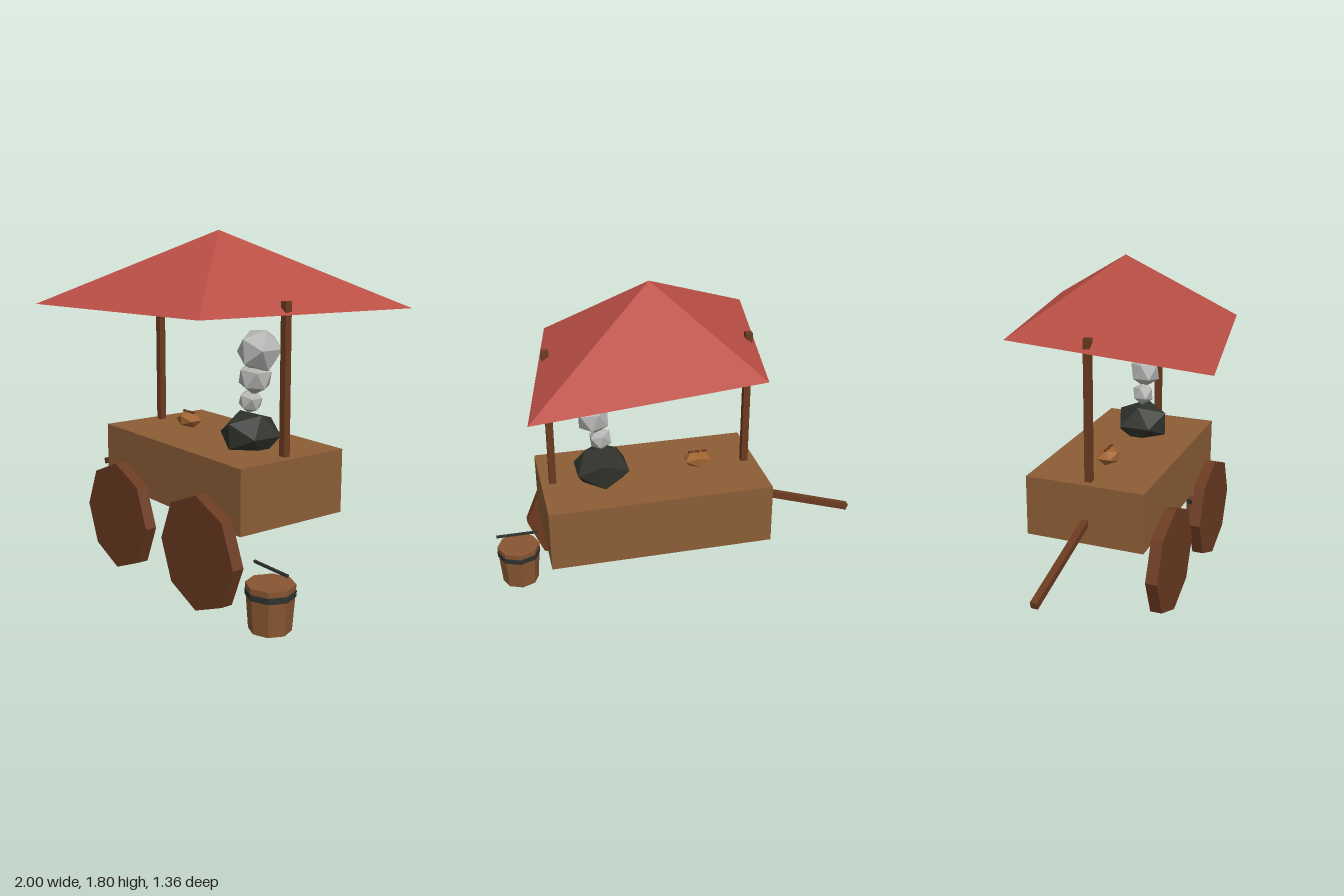
import * as THREE from 'three';

const mat = (name, color) => {
  const m = new THREE.MeshStandardMaterial({ color, flatShading: true });
  m.name = name;
  return m;
};

export function createModel() {
  const cart = new THREE.Group();
  cart.name = 'foodCart';

  const wood = mat('cartWood', 0x8b5d36);
  const darkWood = mat('darkWood', 0x6b3a20);
  const canvas = mat('redCanvas', 0xb94e44);
  const coalMat = mat('coal', 0x2f312a);
  const smokeMat = mat('smoke', 0xb4b4b2);
  const crust = mat('crust', 0xa0622f);
  const staves = mat('bucketWood', 0x885632);
  const iron = mat('iron', 0x30332f);

  const add = (name, geometry, material, x, y, z, parent = cart) => {
    const mesh = new THREE.Mesh(geometry, material);
    mesh.name = name;
    mesh.position.set(x, y, z);
    parent.add(mesh);
    return mesh;
  };
  const box = (w, h, d) => new THREE.BoxGeometry(w, h, d);

  // Counter body
  add('counter', box(1.17, 0.324, 0.642), wood, 0.157, 0.584, -0.002);

  // Solid octagonal wheels on the front side
  for (const [name, x] of [['rightWheel', -0.198], ['leftWheel', 0.519]]) {
    const wheel = new THREE.CylinderGeometry(0.289, 0.289, 0.062, 8).rotateX(Math.PI / 2);
    add(name, wheel, darkWood, x, 0.296, 0.382);
  }

  // Posts that poke through the canopy
  for (const [name, x] of [['rightPost', -0.368], ['leftPost', 0.678]]) {
    add(name, box(0.036, 0.76, 0.036), darkWood, x, 1.108, 0.002).rotation.z = 0.006;
  }

  // Pull handle sloping down from the right end
  const from = new THREE.Vector3(-0.41, 0.545, 0.004);
  const to = new THREE.Vector3(-0.994, 0.365, -0.01);
  const pull = add('pullHandle', box(0.036, 0.036, from.distanceTo(to)), darkWood, 0, 0, 0);
  pull.position.copy(from).lerp(to, 0.5);
  pull.lookAt(to);

  // Four-sided canopy, stretched along one diagonal
  const canopy = new THREE.ConeGeometry(1, 0.382, 4)
    .scale(0.965, 1, 0.672)
    .rotateY(Math.PI / 4)
    .rotateZ(0.005);
  add('canopy', canopy, canvas, 0.15, 1.614, -0.003);

  // Coal heap and rising smoke
  const lump = (name, material, x, y, r, tilt) => {
    const m = add(name, new THREE.IcosahedronGeometry(r, 0), material, x, y, 0);
    m.rotation.z = tilt;
    return m;
  };
  lump('coalHeap', coalMat, 0.42, 0.808, 0.159, 0).scale.y = 0.78;
  lump('smokeLow', smokeMat, 0.419, 0.975, 0.064, 0.3);
  lump('smokeMiddle', smokeMat, 0.452, 1.098, 0.09, 0.42);
  lump('smokeHigh', smokeMat, 0.482, 1.235, 0.116, 0.1);

  // Bread roll with scored marks
  const roll = lump('breadRoll', crust, -0.104, 0.788, 0.081, 0);
  roll.scale.set(1, 0.58, 0.8);
  for (const dx of [-0.036, 0, 0.036]) {
    add('scoreMark', box(0.026, 0.009, 0.012), darkWood, -0.104 + dx, 0.83, 0);
  }

  // Bucket with iron band and carrying bar
  const bucket = new THREE.Group();
  bucket.name = 'bucket';
  bucket.position.set(0.876, 0, 0.246);
  cart.add(bucket);
  add('bucketBody', new THREE.CylinderGeometry(0.119, 0.102, 0.225, 8), staves, 0, 0.1125, 0, bucket);
  add('bucketBand', new THREE.CylinderGeometry(0.121, 0.119, 0.03, 8), iron, 0, 0.181, 0, bucket);
  add('bucketBar', box(0.236, 0.012, 0.012), iron, 0, 0.295, 0, bucket);

  return cart;
}
